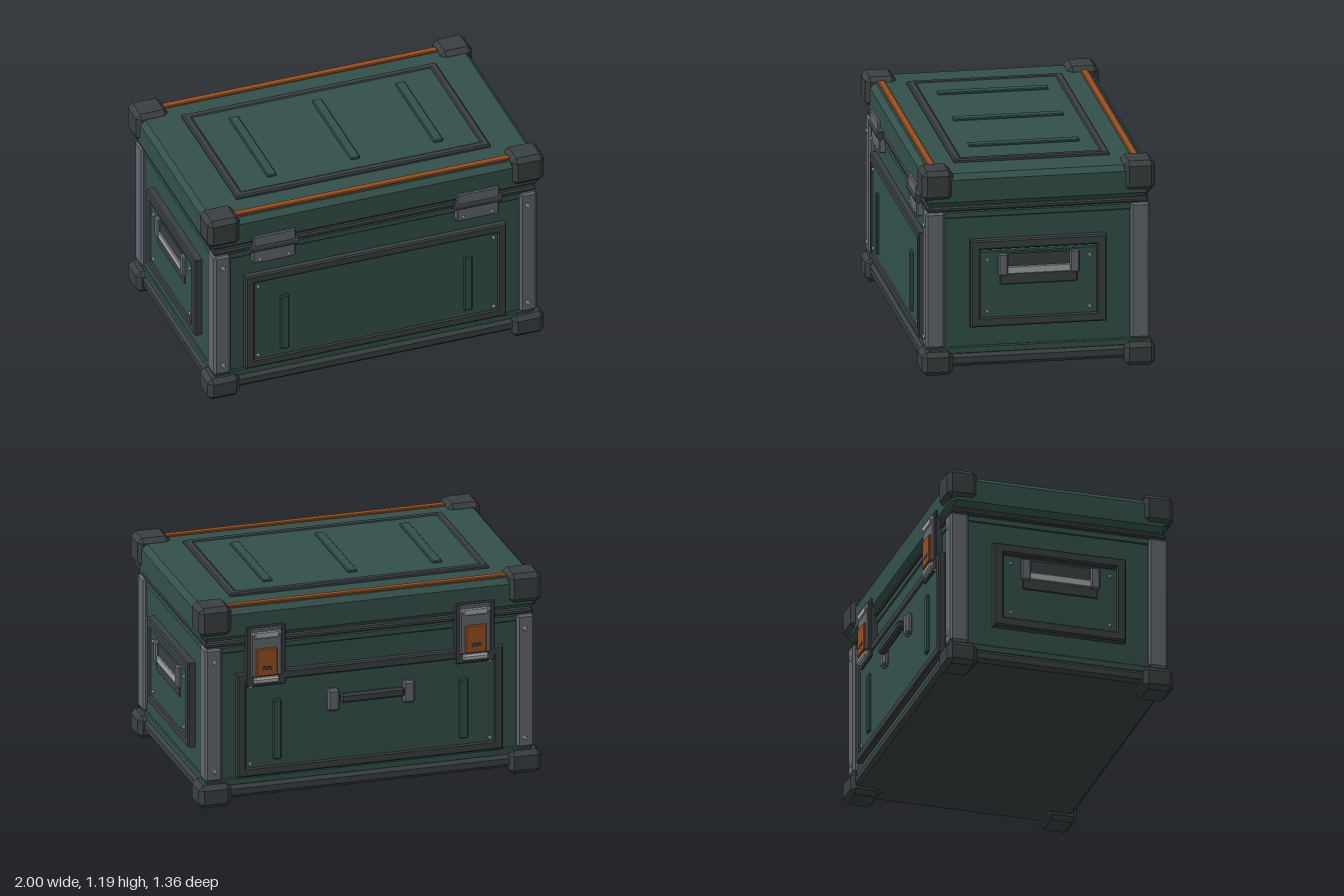
import * as THREE from 'three';
import { ConvexGeometry } from 'three/addons/geometries/ConvexGeometry.js';

const paint = (name, color) => {
  const m = new THREE.MeshStandardMaterial({ color });
  m.name = name;
  return m;
};

export function createModel() {
  const green = paint('green paint', 0x33504a);
  const dark = paint('dark rubber', 0x3a3f41);
  const metal = paint('grey metal', 0x62666c);
  const light = paint('bright metal', 0xa2a5a6);
  const orange = paint('orange trim', 0x964e20);

  const root = new THREE.Group();
  root.name = 'storageCase';
  const chest = new THREE.Group();
  chest.name = 'chest';
  chest.position.z = 0.02;
  root.add(chest);

  // Box with chamfered edges, given by its limits
  function box(parent, name, mat, x0, x1, y0, y1, z0, z1, c = 0.006) {
    const w = (x1 - x0) / 2, h = (y1 - y0) / 2, d = (z1 - z0) / 2;
    c = Math.min(c, w * 0.6, h * 0.6, d * 0.6);
    const pts = [];
    for (const i of [-1, 1]) for (const j of [-1, 1]) for (const k of [-1, 1]) {
      pts.push(new THREE.Vector3(i * w, j * (h - c), k * (d - c)),
        new THREE.Vector3(i * (w - c), j * h, k * (d - c)),
        new THREE.Vector3(i * (w - c), j * (h - c), k * d));
    }
    const mesh = new THREE.Mesh(new ConvexGeometry(pts), mat);
    mesh.name = name;
    mesh.position.set((x0 + x1) / 2, (y0 + y1) / 2, (z0 + z1) / 2);
    parent.add(mesh);
    return mesh;
  }

  // Rectangular border with a bevelled face, lying in the XY plane
  function frame(parent, w, h, t, y, z, depth) {
    const b = 0.008, W = w - b, H = h - b, iw = w - t + b, ih = h - t + b;
    const shape = new THREE.Shape([[-W, -H], [W, -H], [W, H], [-W, H]].map(p => new THREE.Vector2(...p)));
    shape.holes.push(new THREE.Path([[-iw, -ih], [-iw, ih], [iw, ih], [iw, -ih]].map(p => new THREE.Vector2(...p))));
    const geo = new THREE.ExtrudeGeometry(shape, {
      depth: depth - 2 * b, bevelSize: b, bevelThickness: b, bevelSegments: 1,
    });
    const mesh = new THREE.Mesh(geo, dark);
    mesh.name = 'panelFrame';
    mesh.position.set(0, y, z + b);
    parent.add(mesh);
  }

  function rivet(parent, x, y, z, r = 0.012) {
    const mesh = new THREE.Mesh(new THREE.CylinderGeometry(r * 0.7, r, 0.012, 8), light);
    mesh.name = 'rivet';
    mesh.rotation.x = Math.PI / 2;
    mesh.position.set(x, y, z);
    parent.add(mesh);
  }

  // Group turned towards one side of the chest
  function face(name, turn) {
    const g = new THREE.Group();
    g.name = name;
    g.rotation.y = turn;
    chest.add(g);
    return g;
  }

  // Main shell
  box(chest, 'baseFrame', dark, -0.965, 0.965, 0.045, 0.12, -0.637, 0.637, 0.02);
  box(chest, 'body', green, -0.94, 0.94, 0.1, 0.95, -0.607, 0.607, 0.01);
  box(chest, 'bodyLip', green, -0.945, 0.945, 0.905, 0.945, -0.615, 0.615);
  box(chest, 'lowerLip', green, -0.95, 0.95, 0.115, 0.158, -0.62, 0.62);
  box(chest, 'seal', dark, -0.957, 0.957, 0.948, 0.976, -0.624, 0.624, 0.008);
  box(chest, 'sealStrip', metal, -0.945, 0.945, 0.974, 0.99, -0.61, 0.61, 0.002);
  box(chest, 'lid', green, -0.982, 0.982, 0.982, 1.17, -0.637, 0.637, 0.03);

  // Corner guards and metal posts
  for (const sx of [-1, 1]) for (const sz of [-1, 1]) {
    const span = (s, a, b) => (s > 0 ? [a, b] : [-b, -a]);
    const x = span(sx, 0.81, 1), z = span(sz, 0.485, 0.66);
    box(chest, 'lowerCorner', dark, ...x, 0.005, 0.14, ...z, 0.026);
    box(chest, 'upperCorner', dark, ...x, 1.025, 1.197, ...z, 0.026);
    box(chest, 'cornerPost', metal, ...span(sx, 0.86, 0.96), 0.155, 0.945, ...span(sz, 0.525, 0.635), 0.012);
  }

  // Long sides: framed panel, ribs and rivets
  const front = face('frontSide', 0), back = face('backSide', Math.PI);
  for (const side of [front, back]) {
    frame(side, 0.775, 0.3075, 0.052, 0.4725, 0.6, 0.045);
    box(side, 'panel', green, -0.73, 0.73, 0.205, 0.74, 0.6, 0.637);
    for (const s of [-1, 1]) {
      box(side, 'panelRib', green, s * 0.545 - 0.025, s * 0.545 + 0.025, 0.255, 0.61, 0.63, 0.652, 0.008);
      for (const y of [0.24, 0.7]) rivet(side, s * 0.7, y, 0.641);
      for (const y of [0.215, 0.865]) rivet(side, s * 0.905, y, 0.639, 0.015);
    }
  }

  // Front hinges
  for (const s of [-1, 1]) {
    const hinge = new THREE.Group();
    hinge.name = 'hinge';
    hinge.position.x = s * 0.605;
    front.add(hinge);
    box(hinge, 'upperLeaf', metal, -0.125, 0.125, 0.975, 1.045, 0.62, 0.652);
    box(hinge, 'lowerLeaf', metal, -0.125, 0.125, 0.86, 0.95, 0.6, 0.645);
    const pin = new THREE.Mesh(new THREE.CylinderGeometry(0.024, 0.024, 0.275, 12), dark);
    pin.name = 'hingePin';
    pin.rotation.z = Math.PI / 2;
    pin.position.set(0, 0.963, 0.636);
    hinge.add(pin);
    for (const x of [-0.085, 0.085]) rivet(hinge, x, 0.885, 0.648);
  }

  // Back latches
  for (const s of [-1, 1]) {
    const latch = new THREE.Group();
    latch.name = 'latch';
    latch.position.x = s * 0.61;
    back.add(latch);
    box(latch, 'backing', dark, -0.115, 0.115, 0.7, 1.06, 0.6, 0.648);
    box(latch, 'latchPlate', metal, -0.09, 0.09, 0.76, 1.05, 0.64, 0.66);
    box(latch, 'topHook', light, -0.07, 0.07, 0.99, 1.03, 0.65, 0.668);
    box(latch, 'lever', orange, -0.062, 0.062, 0.765, 0.93, 0.65, 0.672);
    box(latch, 'leverSlot', dark, -0.03, 0.03, 0.805, 0.825, 0.67, 0.674, 0.001);
    box(latch, 'clasp', light, -0.075, 0.075, 0.72, 0.757, 0.64, 0.672, 0.01);
    for (const x of [-0.075, 0.075]) rivet(latch, x, 1.02, 0.663);
  }

  // Back carrying handle
  for (const s of [-1, 1]) {
    box(back, 'handleBracket', metal, s * 0.22 - 0.035, s * 0.22 + 0.035, 0.51, 0.64, 0.63, 0.67, 0.012);
  }
  box(back, 'handleGrip', dark, -0.187, 0.187, 0.562, 0.617, 0.658, 0.7, 0.012);

  // Short sides: framed panel with a recessed handle
  for (const s of [-1, 1]) {
    const end = face(s > 0 ? 'leftEnd' : 'rightEnd', s * Math.PI / 2);
    frame(end, 0.385, 0.2525, 0.055, 0.5275, 0.93, 0.055);
    box(end, 'endPanel', green, -0.335, 0.335, 0.31, 0.715, 0.93, 0.976);
    box(end, 'handlePocket', dark, -0.22, 0.22, 0.515, 0.7, 0.96, 0.981);
    box(end, 'handleBar', light, -0.18, 0.18, 0.578, 0.622, 0.97, 0.99, 0.004);
    for (const t of [-1, 1]) {
      box(end, 'handleEnd', metal, t * 0.202 - 0.028, t * 0.202 + 0.028, 0.57, 0.7, 0.96, 0.996, 0.008);
      for (const y of [0.365, 0.665]) rivet(end, t * 0.29, y, 0.98);
    }
  }

  // Lid top: framed panel, ribs and trim strips
  const top = new THREE.Group();
  top.name = 'lidTop';
  top.rotation.x = -Math.PI / 2;
  chest.add(top);
  frame(top, 0.755, 0.44, 0.045, 0, 1.15, 0.04);
  box(top, 'lidPanel', green, -0.715, 0.715, -0.4, 0.4, 1.15, 1.186);
  for (const x of [-0.495, 0, 0.495]) box(top, 'lidRib', green, x - 0.028, x + 0.028, -0.312, 0.312, 1.18, 1.198);
  for (const s of [-1, 1]) {
    box(top, 'trimStrip', orange, -0.815, 0.815, s * 0.575 - 0.021, s * 0.575 + 0.021, 1.16, 1.182, 0.005);
  }

  return root;
}
